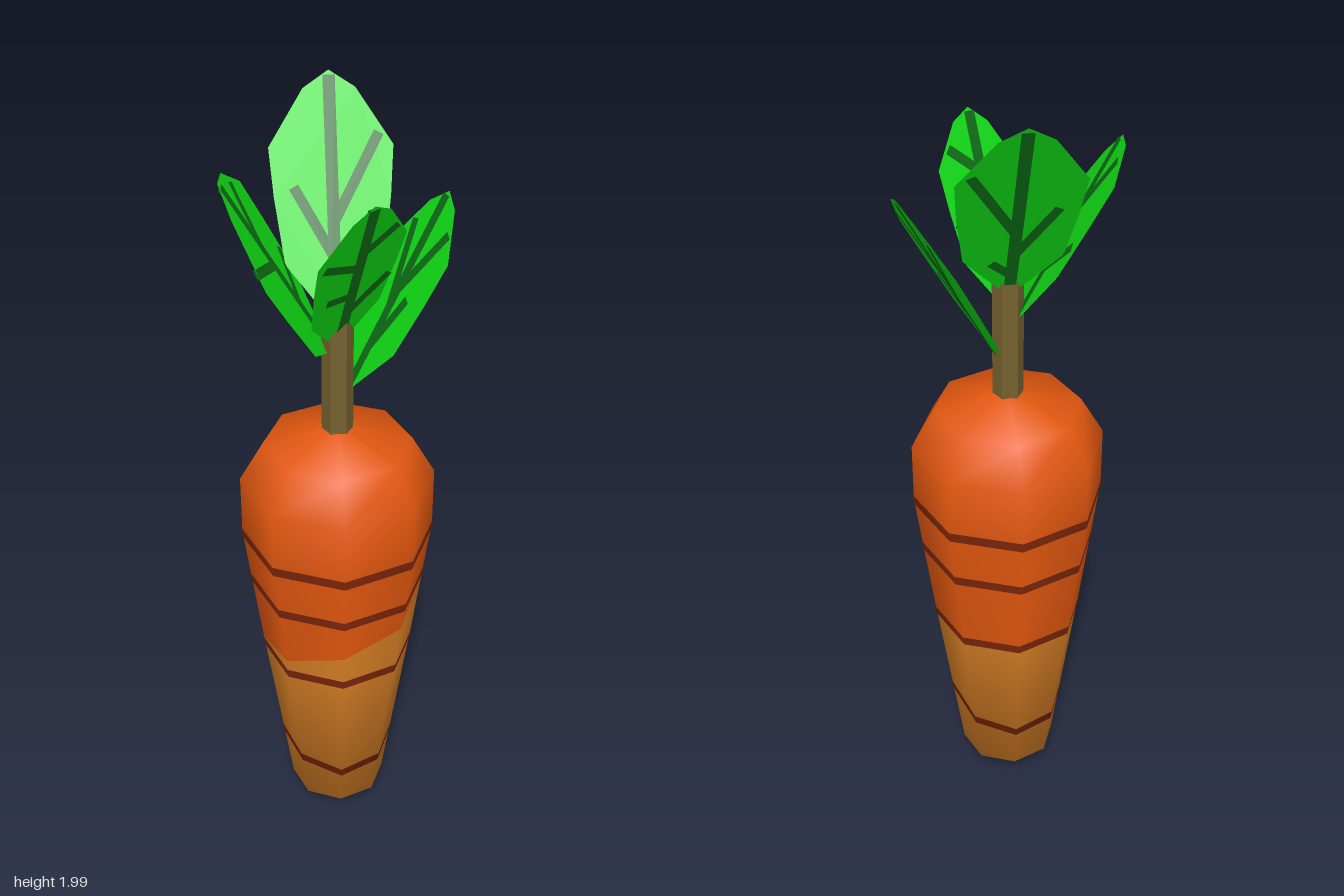
import * as THREE from 'three';

const CENTRE_Z = 0.016;

// Root profile: radius, height
const profile = [[0, 0.008], [0.125, 0.075], [0.195, 0.57], [0.24, 0.92], [0.24, 1.08], [0.182, 1.18], [0, 1.228]]
  .map(p => new THREE.Vector2(...p));

// Smooth profile normals (outward, up)
const slopes = profile.slice(1).map((p, i) => {
  const d = p.clone().sub(profile[i]).normalize();
  return new THREE.Vector2(d.y, -d.x);
});
const profileNormals = profile.map((_, i) =>
  slopes[Math.max(i - 1, 0)].clone().add(slopes[Math.min(i, slopes.length - 1)]));

// Radius and normal of the root at a height
function sample(y) {
  let i = 0;
  while (i < profile.length - 2 && y > profile[i + 1].y) i++;
  const k = (y - profile[i].y) / (profile[i + 1].y - profile[i].y);
  return {
    radius: THREE.MathUtils.lerp(profile[i].x, profile[i + 1].x, k),
    normal: profileNormals[i].clone().lerp(profileNormals[i + 1], k),
  };
}

// Half of an eight-sided skin between two height lists (five corners each)
function halfBand(start, low, high, offset) {
  const pos = [], nor = [], idx = [], rows = profile.length;
  for (let s = 0; s < 5; s++) {
    const sin = Math.sin(start + s * Math.PI / 4), cos = Math.cos(start + s * Math.PI / 4);
    for (const point of profile) {
      const y = THREE.MathUtils.clamp(point.y, low[s], high[s]);
      const { radius, normal } = sample(y);
      const n = new THREE.Vector3(sin * normal.x, normal.y, cos * normal.x).normalize();
      pos.push(sin * (radius + offset), y, cos * (radius + offset) + CENTRE_Z);
      nor.push(n.x, n.y, n.z);
    }
  }
  for (let s = 0; s < 4; s++) {
    for (let j = 0; j < rows - 1; j++) {
      const a = s * rows + j, b = a + rows;
      idx.push(a, b, b + 1, a, b + 1, a + 1);
    }
  }
  const g = new THREE.BufferGeometry();
  g.setAttribute('position', new THREE.Float32BufferAttribute(pos, 3));
  g.setAttribute('normal', new THREE.Float32BufferAttribute(nor, 3));
  g.setIndex(idx);
  return g;
}

// Leaf outline shared by all leaves: half width, distance from base to tip
const leafEdge = [[0.1, 0], [0.8, 0.23], [0.94, 0.5], [1, 0.7], [0.42, 0.93]];
const leafOutline = [
  ...leafEdge,
  [0, 1],
  ...leafEdge.map(([w, v]) => [-w, v]).reverse(),
].map(p => new THREE.Vector2(...p));

// Leaf from its base, tip and half-width vector; branches are [start on midrib, end across, end along]
function makeLeaf(name, base, tip, half, branches, leafMat, veinMat) {
  const origin = new THREE.Vector3(...base);
  const axis = new THREE.Vector3(...tip).sub(origin);
  const across = new THREE.Vector3(...half);
  const normal = across.clone().cross(axis).normalize();
  const place = (w, v) => origin.clone().addScaledVector(across, w).addScaledVector(axis, v);

  const blade = new THREE.ShapeGeometry(new THREE.Shape(leafOutline));
  const p = blade.attributes.position;
  for (let i = 0; i < p.count; i++) {
    p.setXYZ(i, ...place(p.getX(i), p.getY(i)).toArray());
  }
  blade.computeVertexNormals();

  // Veins: flat strips on both faces of the blade
  const pos = [], idx = [];
  const addVein = (from, to, halfWidth) => {
    const edge = to.clone().sub(from).cross(normal).setLength(halfWidth);
    for (const side of [1, -1]) {
      const q = pos.length / 3;
      for (const end of [from, to]) {
        const mid = end.clone().addScaledVector(normal, side * 0.003);
        pos.push(...mid.clone().addScaledVector(edge, side).toArray());
        pos.push(...mid.addScaledVector(edge, -side).toArray());
      }
      idx.push(q, q + 2, q + 1, q + 1, q + 2, q + 3);
    }
  };
  addVein(place(0, 0), place(0, 0.98), 0.014);
  for (const [start, w, v] of branches) addVein(place(0, start), place(w, v), 0.012);
  const veins = new THREE.BufferGeometry();
  veins.setAttribute('position', new THREE.Float32BufferAttribute(pos, 3));
  veins.setIndex(idx);
  veins.computeVertexNormals();

  const bladeMesh = new THREE.Mesh(blade, leafMat);
  bladeMesh.name = 'leafBlade';
  const veinMesh = new THREE.Mesh(veins, veinMat);
  veinMesh.name = 'leafVeins';
  const group = new THREE.Group();
  group.name = name;
  group.add(bladeMesh, veinMesh);
  return group;
}

export function createModel() {
  const mat = (name, color, extra = {}) => new THREE.MeshStandardMaterial({ name, color, ...extra });
  const orange = mat('orange skin', 0xe2570f);
  const pale = mat('pale orange skin', 0xd98025);
  const grooveMat = mat('brown groove', 0x7c260a);
  const stemMat = mat('brown stem', 0x75602f, { flatShading: true });
  const leafMat = mat('leaf green', 0x0fd814, { side: THREE.DoubleSide });
  const veinMat = mat('vein green', 0x0c6a14, { side: THREE.DoubleSide });

  const model = new THREE.Group();
  const flat = y => Array(5).fill(y);

  // Front half runs from -x to +x, back half from +x to -x
  const addBand = (name, material, lows, highs, offset = 0) => {
    const group = new THREE.Group();
    group.name = name;
    [-Math.PI / 2, Math.PI / 2].forEach((start, i) => {
      const mesh = new THREE.Mesh(halfBand(start, lows[i], highs[i], offset), material);
      mesh.name = name + (i ? 'Back' : 'Front');
      group.add(mesh);
    });
    model.add(group);
  };

  // Two-tone root with a slanting colour edge on the front
  const edge = [[0.575, 0.605, 0.655, 0.7, 0.75], flat(0.555)];
  addBand('lowerRoot', pale, [flat(0), flat(0)], edge);
  addBand('upperRoot', orange, edge, [flat(2), flat(2)]);

  // Grooves around the root, given by centre heights of the two halves
  const addGroove = (name, front, back) => {
    const shifted = d => [front, back].map(half => half.map(y => y + d));
    addBand(name, grooveMat, shifted(-0.013), shifted(0.013), 0.002);
  };
  addGroove('topGroove', flat(0.918), flat(0.921));
  addGroove('upperGroove', flat(0.776), flat(0.773));
  addGroove('middleGroove', flat(0.56), flat(0.553));
  addGroove('bottomGroove', [0.245, 0.225, 0.195, 0.21, 0.235], [0.28, 0.235, 0.21, 0.22, 0.245]);

  // Six-sided stem
  const stem = new THREE.Mesh(new THREE.CylinderGeometry(0.038, 0.038, 0.35, 6), stemMat);
  stem.name = 'stem';
  stem.rotation.y = Math.PI / 6;
  stem.position.set(0, 1.375, CENTRE_Z);
  model.add(stem);

  // Four leaves around the stem
  const addLeaf = (name, base, tip, half, branches) =>
    model.add(makeLeaf(name, base, tip, half, branches, leafMat, veinMat));
  addLeaf('backLeaf', [0, 1.5, 0], [0, 2, -0.258], [0.143, 0, 0],
    [[0.25, -0.62, 0.54], [0.39, 0.77, 0.75], [0.12, 0.35, 0.21]]);
  addLeaf('frontLeaf', [0, 1.45, 0.02], [0.064, 1.87, 0.206], [0.1, 0.02, -0.05],
    [[0.25, 0.82, 0.44], [0.68, 0.69, 0.8], [0.58, -0.85, 0.68], [0.38, -0.59, 0.4]]);
  addLeaf('rightLeaf', [-0.02, 1.43, 0], [-0.26, 1.855, 0.029], [0.0225, -0.07, 0.14],
    [[0.62, -0.5, 0.85], [0.28, -0.72, 0.39], [0.52, 0.9, 0.77]]);
  addLeaf('leftLeaf', [0.03, 1.33, 0.01], [0.26, 1.78, -0.07], [0.05, 0.02, 0.12],
    [[0.5, 0.63, 0.82], [0.4, -0.53, 0.83], [0.2, 0.4, 0.48]]);
  return model;
}
